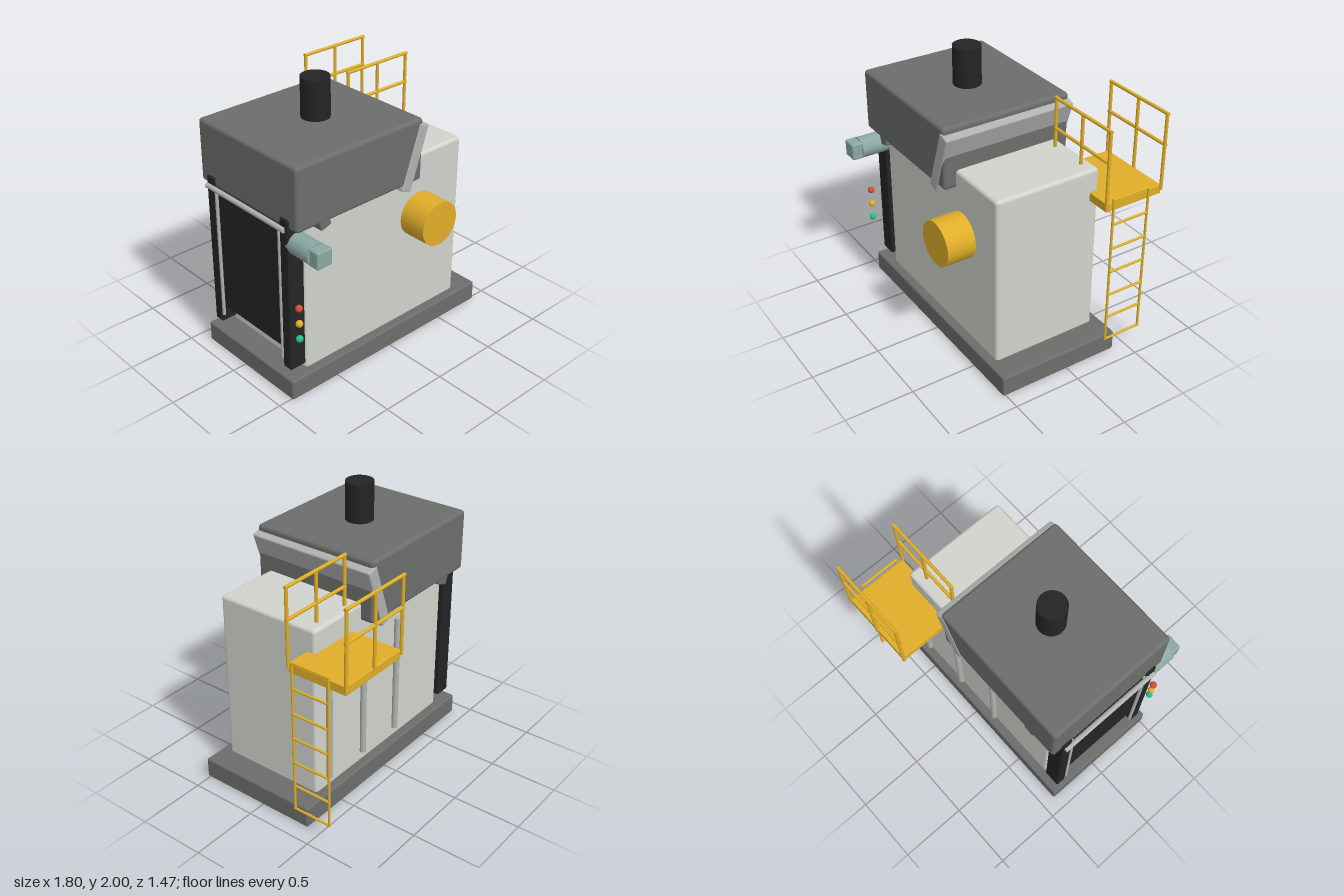
import * as THREE from 'three';
import { RoundedBoxGeometry } from 'three/addons/geometries/RoundedBoxGeometry.js';

const paint = (color) => new THREE.MeshStandardMaterial({ color });
const MAT = {
  dark: paint(0x6b6e6b), body: paint(0xd0d4cc), black: paint(0x242424), steel: paint(0xb0b2b2),
  yellow: paint(0xe0ae28), motor: paint(0x8ba8a2), red: paint(0xdd4a35), green: paint(0x1fc487),
};

export function createModel() {
  const model = new THREE.Group();
  model.name = 'processingMachine';

  const add = (parent, name, geometry, material, x = 0, y = 0, z = 0) => {
    const mesh = new THREE.Mesh(geometry, material);
    mesh.name = name;
    mesh.position.set(x, y, z);
    parent.add(mesh);
    return mesh;
  };
  // Rounded box given by its extents on each axis
  const block = (parent, name, material, [x0, x1], [y0, y1], [z0, z1], r) =>
    add(parent, name, new RoundedBoxGeometry(x1 - x0, y1 - y0, z1 - z0, 3, r), material,
      (x0 + x1) / 2, (y0 + y1) / 2, (z0 + z1) / 2);
  // Straight round bar between two points
  const rod = (parent, name, material, from, to, r, sides = 12) => {
    const a = new THREE.Vector3(...from), b = new THREE.Vector3(...to);
    const dir = b.clone().sub(a);
    const mesh = add(parent, name, new THREE.CylinderGeometry(r, r, dir.length(), sides), material);
    mesh.position.copy(a).add(b).multiplyScalar(0.5);
    mesh.quaternion.setFromUnitVectors(new THREE.Vector3(0, 1, 0), dir.normalize());
    return mesh;
  };
  const group = (name) => {
    const g = new THREE.Group();
    g.name = name;
    model.add(g);
    return g;
  };

  // Plinth, main housing and hood
  block(model, 'base', MAT.dark, [-0.9, 0.875], [0, 0.152], [-0.4, 0.522], 0.015);
  block(model, 'housing', MAT.body, [-0.73, 0.697], [0.13, 1.4], [-0.335, 0.46], 0.025);
  block(model, 'hood', MAT.dark, [-0.858, 0.22], [1.27, 1.72], [-0.43, 0.55], 0.025);
  rod(model, 'chimney', MAT.black, [-0.278, 1.7, 0.06], [-0.278, 2, 0.06], 0.099, 32);

  // Sloping chute panels, one at each end of the hood
  const chute = (name, material, x, tilt, depth) => {
    const panel = add(model, name, new RoundedBoxGeometry(0.09, 0.47, depth, 3, 0.012),
      material, x, 1.45, 0.06);
    panel.rotation.z = tilt;
  };
  chute('leftChute', MAT.steel, 0.152, -0.33, 0.99);
  chute('rightChute', MAT.dark, -0.69, 0.33, 0.976);

  // Burner drum on the front
  rod(model, 'burner', MAT.yellow, [0.29, 0.95, 0.42], [0.29, 0.95, 0.67], 0.162, 32);

  // Vertical ribs on the back
  for (const x of [0.58, 0.21, -0.17])
    rod(model, 'backRib', MAT.steel, [x, 0.23, -0.356], [x, 1.13, -0.356], 0.022, 16);

  // Door frame with its curtain, guide rods and drive shaft
  const door = group('door');
  block(door, 'doorPostFront', MAT.black, [-0.873, -0.745], [0.205, 1.34], [0.395, 0.474], 0.012);
  block(door, 'doorPostBack', MAT.black, [-0.873, -0.745], [0.205, 1.34], [-0.352, -0.273], 0.012);
  block(door, 'doorCurtain', MAT.black, [-0.84, -0.735], [0.32, 1.25], [-0.29, 0.41], 0.008);
  for (const z of [-0.262, 0.384])
    rod(door, 'guideRod', MAT.steel, [-0.865, 0.27, z], [-0.865, 1.27, z], 0.012);
  rod(door, 'driveShaft', MAT.steel, [-0.88, 1.27, -0.34], [-0.88, 1.27, 0.45], 0.018, 16);

  // Drive motor
  const motor = group('motor');
  rod(motor, 'motorBody', MAT.motor, [-0.797, 1.16, 0.45], [-0.797, 1.16, 0.66], 0.077, 24);
  block(motor, 'motorTerminalBox', MAT.motor, [-0.857, -0.737], [1.1, 1.222], [0.64, 0.735], 0.012);

  // Signal lamps
  [[MAT.red, 0.74], [MAT.yellow, 0.623], [MAT.green, 0.506]].forEach(([material, y]) =>
    add(model, 'signalLamp', new THREE.SphereGeometry(0.025, 20, 14), material, -0.862, y, 0.556));

  // Service platform with a guard rail on each side
  const platform = group('platform');
  block(platform, 'platformDeck', MAT.yellow, [0.31, 0.873], [1.17, 1.235], [-0.72, -0.265], 0.006);
  for (const z of [-0.265, -0.72]) {
    for (const x of [0.306, 0.59, 0.872])
      rod(platform, 'railPost', MAT.yellow, [x, 1.2, z], [x, 1.765, z], 0.012);
    for (const y of [1.535, 1.758])
      rod(platform, 'handRail', MAT.yellow, [0.295, y, z], [0.884, y, z], 0.012);
  }

  // Ladder
  const ladder = group('ladder');
  for (const z of [-0.31, -0.598])
    rod(ladder, 'ladderStile', MAT.yellow, [0.889, 0.125, z], [0.889, 1.262, z], 0.009);
  for (let i = 0; i < 7; i++) {
    const y = 0.132 + i * 0.188;
    rod(ladder, 'ladderRung', MAT.yellow, [0.889, y, -0.304], [0.889, y, -0.604], 0.009);
  }
  return model;
}
